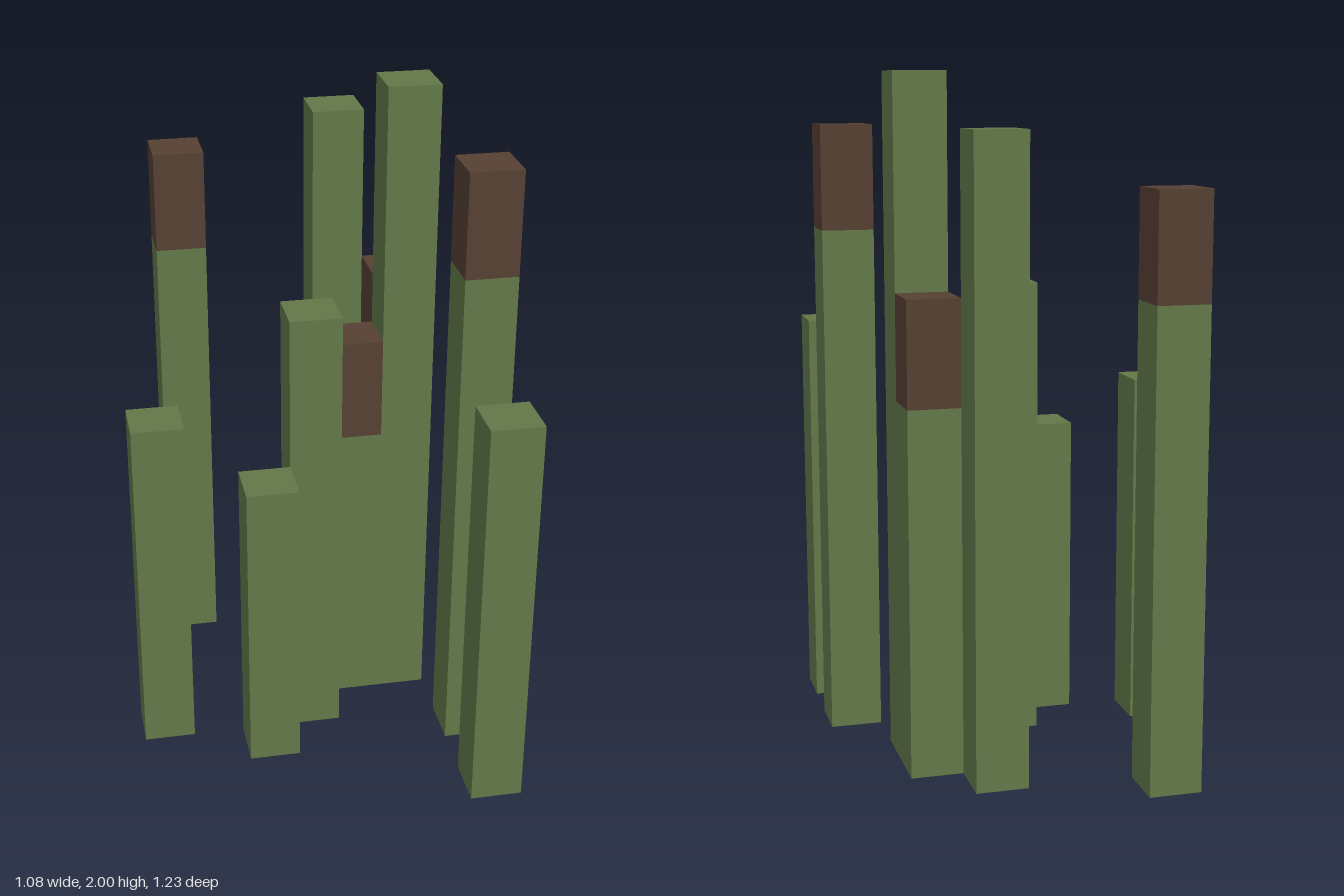
import * as THREE from 'three';
import { mergeGeometries } from 'three/addons/utils/BufferGeometryUtils.js';

const U = 2 / 13; // one cell

// centre x, centre z, height, has a brown tip two cells tall (all in cells)
const COLUMNS = [
  [-2, -3.5, 11, true],
  [1, -2.5, 12, false],
  [2, -1.5, 9, true],
  [1, -0.5, 8, true],
  [2, -0.5, 13, false],
  [-3, 0.5, 7, false],
  [0, 0.5, 9, false],
  [-1, 1.5, 6, false],
  [3, 1.5, 12, true],
  [3, 3.5, 8, false],
];

const heightAt = (x, z) => COLUMNS.find((c) => c[0] === x && c[1] === z)?.[2] ?? 0;

// Walls between two heights, leaving out what touches a neighbouring column
function walls(x, z, y0, y1) {
  const parts = [];
  for (let i = 0; i < 4; i++) {
    const angle = (i * Math.PI) / 2;
    const dx = Math.round(Math.sin(angle));
    const dz = Math.round(Math.cos(angle));
    const base = Math.max(y0, heightAt(x + dx, z + dz));
    if (base >= y1) continue;
    parts.push(new THREE.PlaneGeometry(U, (y1 - base) * U)
      .rotateY(angle)
      .translate((x + dx / 2) * U, ((base + y1) / 2) * U, (z + dz / 2) * U));
  }
  return parts;
}

const cap = (x, z, y) =>
  new THREE.PlaneGeometry(U, U).rotateX(-Math.PI / 2).translate(x * U, y * U, z * U);

export function createModel() {
  const green = new THREE.MeshStandardMaterial({ color: 0x627849, side: THREE.DoubleSide });
  green.name = 'stalk green';
  const brown = new THREE.MeshStandardMaterial({ color: 0x564033, side: THREE.DoubleSide });
  brown.name = 'tip brown';

  const model = new THREE.Group();
  model.name = 'reeds';

  for (const [x, z, h, tipped] of COLUMNS) {
    const reed = new THREE.Group();
    reed.name = 'reed';
    const add = (name, parts, material) => {
      const mesh = new THREE.Mesh(mergeGeometries(parts), material);
      mesh.name = name;
      reed.add(mesh);
    };
    // Stalks are open underneath; the top cap belongs to the uppermost part
    if (tipped) {
      add('stalk', walls(x, z, 0, h - 2), green);
      add('tip', [...walls(x, z, h - 2, h), cap(x, z, h)], brown);
    } else {
      add('stalk', [...walls(x, z, 0, h), cap(x, z, h)], green);
    }
    model.add(reed);
  }
  return model;
}
